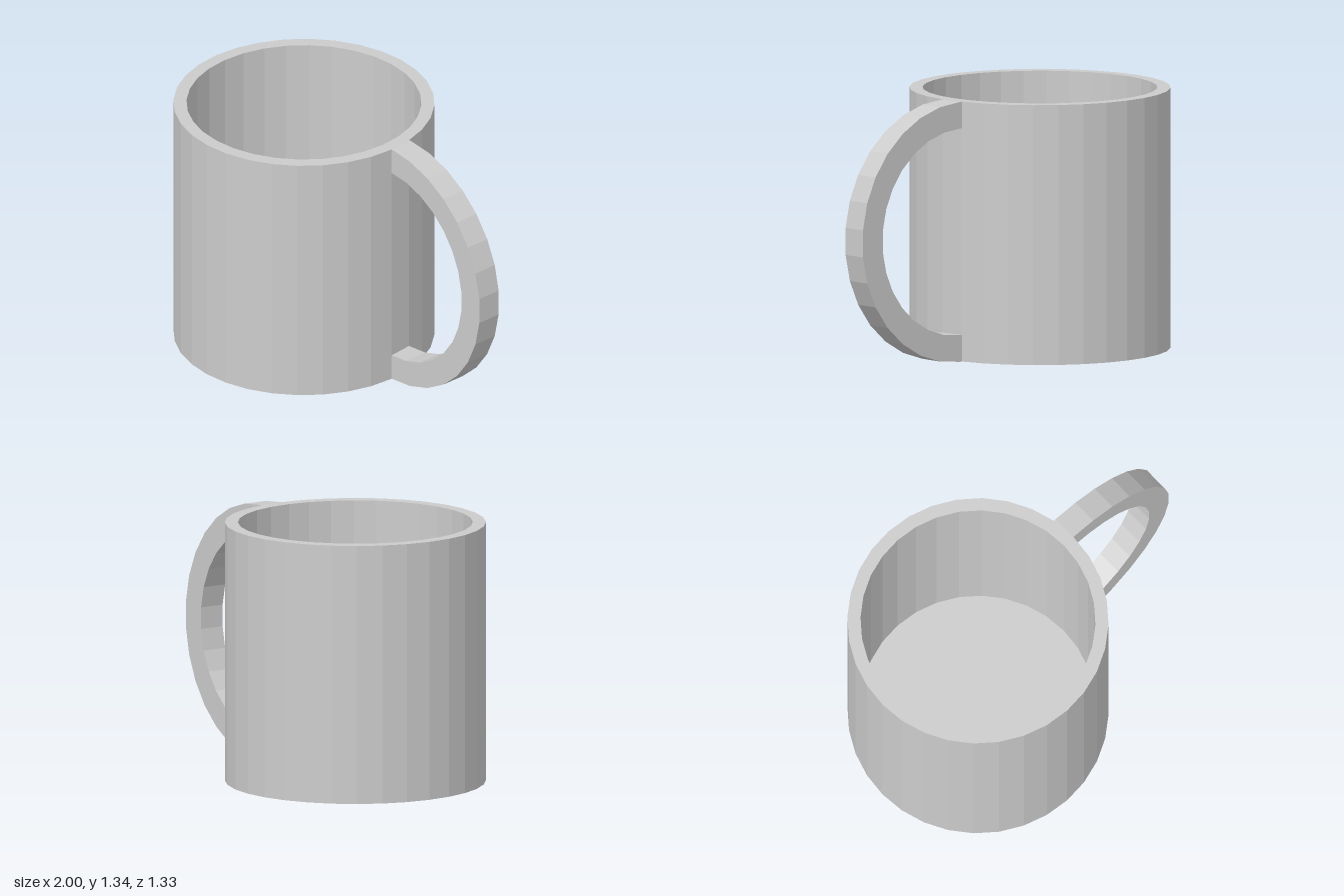
import * as THREE from 'three';

const R = 0.667, H = 1.34, WALL = 0.067, CUP_X = -0.333;
const HANDLE_X = 0.333, HANDLE_INNER = 0.533, HANDLE_DEPTH = 0.133;

export function createModel() {
  const group = new THREE.Group();
  const material = new THREE.MeshStandardMaterial({ color: 0xcccccc, flatShading: true });

  // Cup: closed profile from the underside, over the rim, down to the inner floor
  const profile = [[0, 0], [R, 0], [R, H], [R - WALL, H], [R - WALL, WALL], [0, WALL]]
    .map(([x, y]) => new THREE.Vector2(x, y));
  const cup = new THREE.Mesh(new THREE.LatheGeometry(profile, 32), material);
  cup.name = 'cup';
  cup.position.x = CUP_X;
  group.add(cup);

  // Handle: half ring whose ends run a little way into the cup wall
  const arc = (r) => Array.from({ length: 16 }, (_, i) => {
    const a = -Math.PI / 2 + (i * Math.PI) / 15;
    return new THREE.Vector2(r * Math.cos(a), r * Math.sin(a));
  });
  const root = -0.03;
  const outline = [
    new THREE.Vector2(root, -H / 2), ...arc(H / 2), new THREE.Vector2(root, H / 2),
    new THREE.Vector2(root, HANDLE_INNER), ...arc(HANDLE_INNER).reverse(),
    new THREE.Vector2(root, -HANDLE_INNER),
  ];
  const handle = new THREE.Mesh(
    new THREE.ExtrudeGeometry(new THREE.Shape(outline), { depth: HANDLE_DEPTH, bevelEnabled: false }),
    material,
  );
  handle.name = 'handle';
  handle.position.set(HANDLE_X, H / 2, -HANDLE_DEPTH);
  group.add(handle);

  return group;
}
